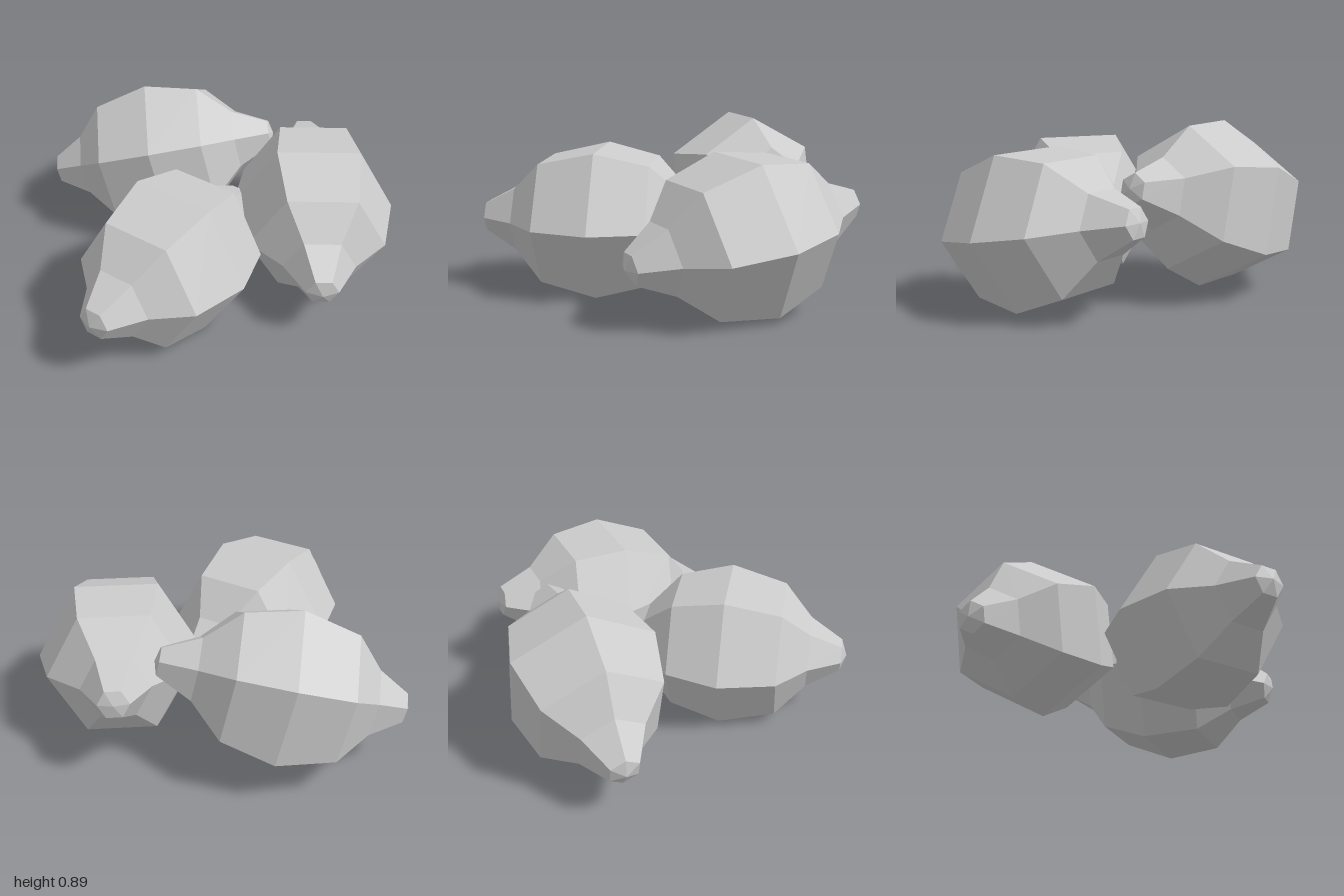
import * as THREE from 'three';

// Half-profile of one fruit: [radius, distance along its axis]
const PROFILE = [
  [0, -0.65], [0.08, -0.63], [0.18, -0.445], [0.362, -0.28], [0.437, 0],
  [0.362, 0.3], [0.19, 0.455], [0.085, 0.63], [0, 0.66],
];

// Each fruit: centre, long axis, and the direction of one of its six ridges
const FRUITS = [
  { name: 'frontFruit', centre: [0.175, 0.385, 0.335], axis: [0.07, 0, 1], ridge: [1, -0.015, -0.07] },
  { name: 'leftBackFruit', centre: [0.495, 0.41, -0.475], axis: [0.62, -0.16, 0.766], ridge: [0.77, -0.01, -0.635] },
  { name: 'rightBackFruit', centre: [-0.43, 0.47, -0.3], axis: [-0.787, -0.23, 0.574], ridge: [0.43, 0.48, 0.76] },
];

export function createModel() {
  const group = new THREE.Group();
  group.name = 'fruitPile';
  const material = new THREE.MeshStandardMaterial({ color: 0xcccccc, flatShading: true });
  const geometry = new THREE.LatheGeometry(PROFILE.map(([r, y]) => new THREE.Vector2(r, y)), 6);

  for (const { name, centre, axis, ridge } of FRUITS) {
    const fruit = new THREE.Mesh(geometry, material);
    fruit.name = name;
    // Orthonormal frame: y along the fruit, z through a ridge
    const y = new THREE.Vector3(...axis).normalize();
    const x = new THREE.Vector3().crossVectors(y, new THREE.Vector3(...ridge)).normalize();
    const z = new THREE.Vector3().crossVectors(x, y);
    fruit.quaternion.setFromRotationMatrix(new THREE.Matrix4().makeBasis(x, y, z));
    fruit.position.set(...centre);
    group.add(fruit);
  }
  return group;
}
